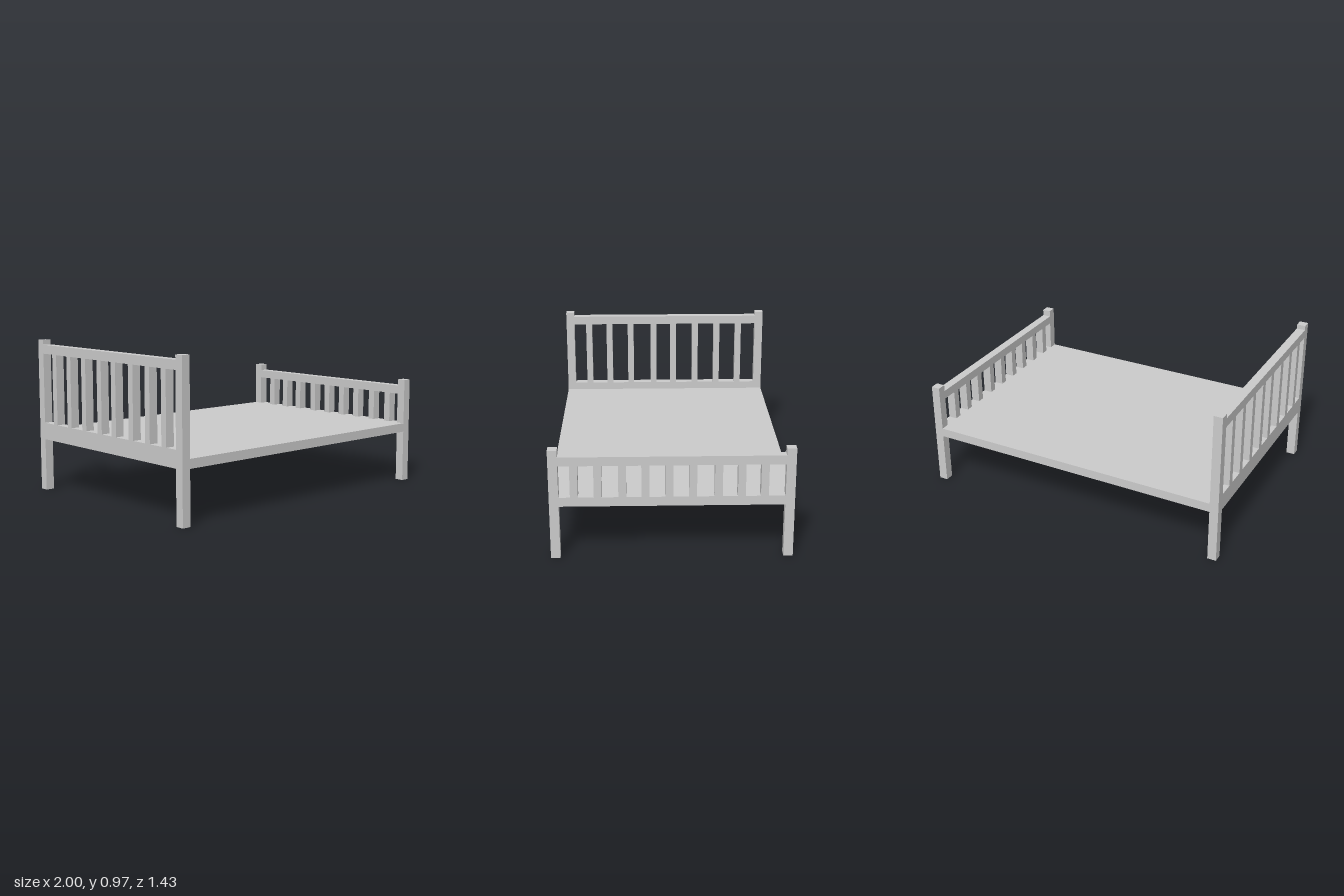
import * as THREE from 'three';

const material = new THREE.MeshStandardMaterial({ color: 0xcccccc, flatShading: true });
const POST = 0.056;      // post section, also the thickness of rails and slats
const HALF_WIDTH = 0.715; // half of the bed along z
const BASE = 0.333;      // underside of the platform

// Box given by its limits on each axis
function box(name, [x0, x1], [y0, y1], [z0, z1]) {
  const mesh = new THREE.Mesh(new THREE.BoxGeometry(x1 - x0, y1 - y0, z1 - z0), material);
  mesh.name = name;
  mesh.position.set((x0 + x1) / 2, (y0 + y1) / 2, (z0 + z1) / 2);
  return mesh;
}

// End panel: two posts, upper and lower rails, and upright slats
function endPanel({ name, x, postTop, upper, lower, slats, slatWidth }) {
  const panel = new THREE.Group();
  panel.name = name;
  const inner = HALF_WIDTH - POST;
  panel.add(box('leftPost', x, [0, postTop], [-HALF_WIDTH, -inner]));
  panel.add(box('rightPost', x, [0, postTop], [inner, HALF_WIDTH]));
  panel.add(box('upperRail', x, upper, [-inner, inner]));
  panel.add(box('lowerRail', x, lower, [-inner, inner]));
  slats.forEach((z, i) => panel.add(
    box(`slat${i + 1}`, x, [lower[1], upper[0]], [z - slatWidth / 2, z + slatWidth / 2])));
  return panel;
}

export function createModel() {
  const bed = new THREE.Group();
  bed.name = 'bed';

  bed.add(endPanel({
    name: 'headboard', x: [-1, -1 + POST], postTop: 0.974,
    upper: [0.888, 0.945], lower: [BASE, 0.441], slatWidth: 0.043,
    slats: [0.552, 0.404, 0.249, 0.082, -0.061, -0.222, -0.38, -0.537],
  }));

  bed.add(endPanel({
    name: 'footboard', x: [1 - POST, 1], postTop: 0.683,
    upper: [0.586, 0.641], lower: [BASE, 0.39], slatWidth: 0.046,
    slats: [0.569, 0.431, 0.289, 0.155, 0.017, -0.121, -0.27, -0.404, -0.538],
  }));

  // Solid platform between the two ends
  bed.add(box('platform', [-1 + POST, 1 - POST], [BASE, 0.39], [-HALF_WIDTH, HALF_WIDTH]));
  return bed;
}
